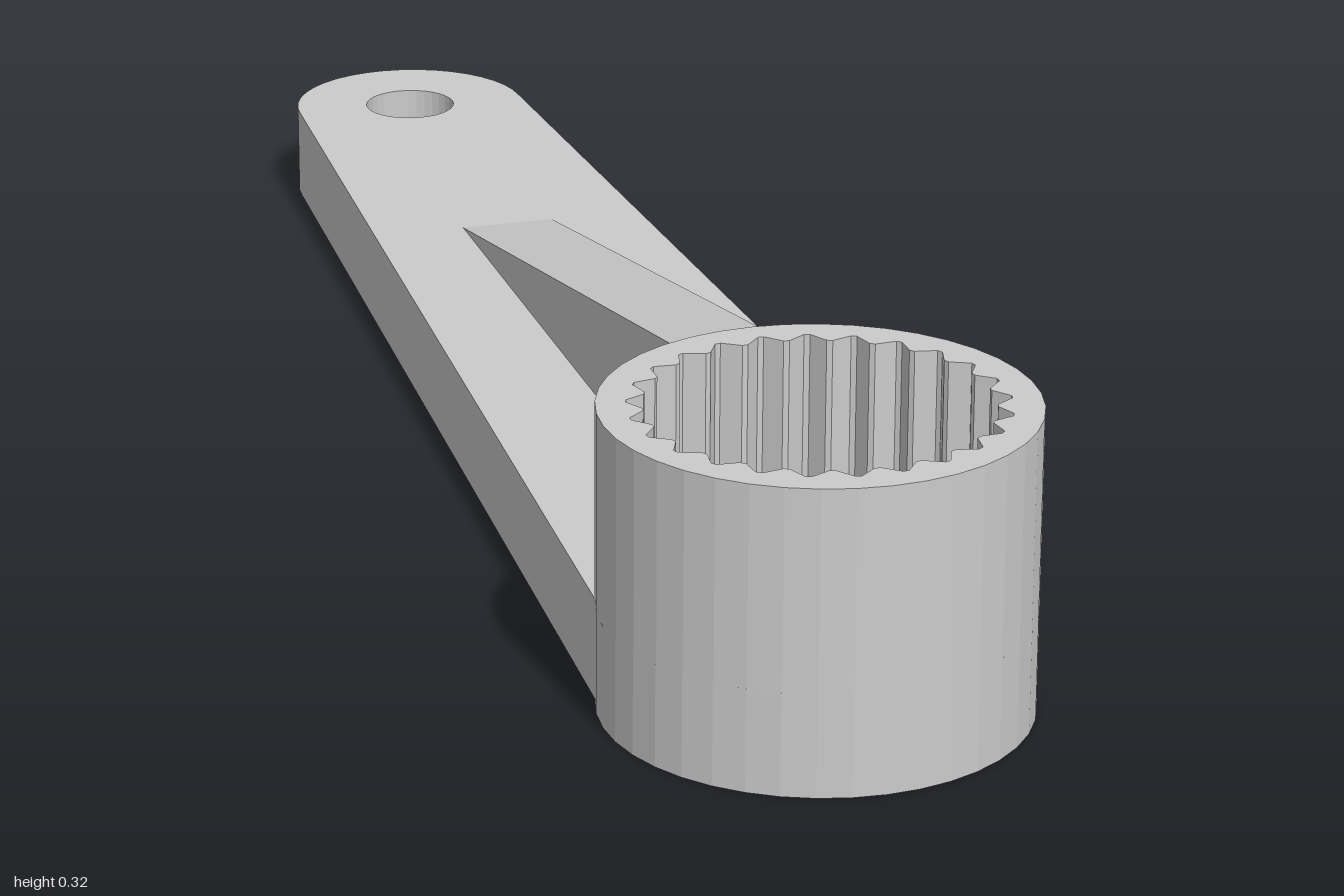
import * as THREE from 'three';

const HUB_Z = 0.78, HUB_R = 0.2205, TIP_Z = -0.858, TIP_R = 0.142;
const PLATE_H = 0.109, HUB_H = 0.321, TEETH = 25;
const material = new THREE.MeshStandardMaterial({ color: 0xcccccc, flatShading: true });

// Points along an arc, drawn in plan (plan y = -z)
function arc(z, r, from, to, steps) {
  return Array.from({ length: steps + 1 }, (_, i) => {
    const a = from + (to - from) * i / steps;
    return new THREE.Vector2(r * Math.cos(a), -z + r * Math.sin(a));
  });
}

const circle = (z, r, n) => arc(z, r, 0, Math.PI * 2, n).slice(0, n);

// Extrudes a plan outline with holes upward from y0 to y1
function slab(name, outline, holes, y0, y1) {
  const shape = new THREE.Shape(outline);
  shape.holes = holes.map((h) => new THREE.Path(h));
  const geo = new THREE.ExtrudeGeometry(shape, { depth: y1 - y0, bevelEnabled: false });
  geo.rotateX(-Math.PI / 2).translate(0, y0, 0);
  const mesh = new THREE.Mesh(geo, material);
  mesh.name = name;
  return mesh;
}

export function createModel() {
  const group = new THREE.Group();
  group.name = 'leverArm';

  // Tapered arm plate: round tip, straight sides, wider hub end
  const meet = 0.323;
  const outline = [
    ...arc(TIP_Z, TIP_R, 0, Math.PI, 20),
    ...arc(HUB_Z, HUB_R, Math.PI - meet, Math.PI * 2 + meet, 24),
  ];
  group.add(slab('armPlate', outline,
    [circle(HUB_Z, 0.068, 32), circle(TIP_Z, 0.055, 32)], 0, PLATE_H));

  // Hub ring with a splined socket; its floor is the plate top
  const spline = [];
  for (let i = 0; i < TEETH; i++) {
    const mid = Math.PI / 2 + i * Math.PI * 2 / TEETH;
    for (const [offset, r] of [[-0.108, 0.174], [-0.016, 0.19], [0.016, 0.19], [0.108, 0.174]]) {
      spline.push(new THREE.Vector2(r * Math.cos(mid + offset), -HUB_Z + r * Math.sin(mid + offset)));
    }
  }
  group.add(slab('splinedHub', circle(HUB_Z, HUB_R, 40), [spline], PLATE_H, HUB_H));

  // Sloping stiffening rib, side profile in z and y
  const ribWidth = 0.109;
  const profile = new THREE.Shape([[-0.572, 0.1], [0.388, 0.1], [0.388, PLATE_H], [-0.463, 0.272], [-0.572, 0.272]]
    .map(([u, y]) => new THREE.Vector2(u, y)));
  const ribGeo = new THREE.ExtrudeGeometry(profile, { depth: ribWidth, bevelEnabled: false });
  ribGeo.translate(0, 0, -ribWidth / 2).rotateY(Math.PI / 2);
  const rib = new THREE.Mesh(ribGeo, material);
  rib.name = 'stiffeningRib';
  group.add(rib);

  return group;
}
